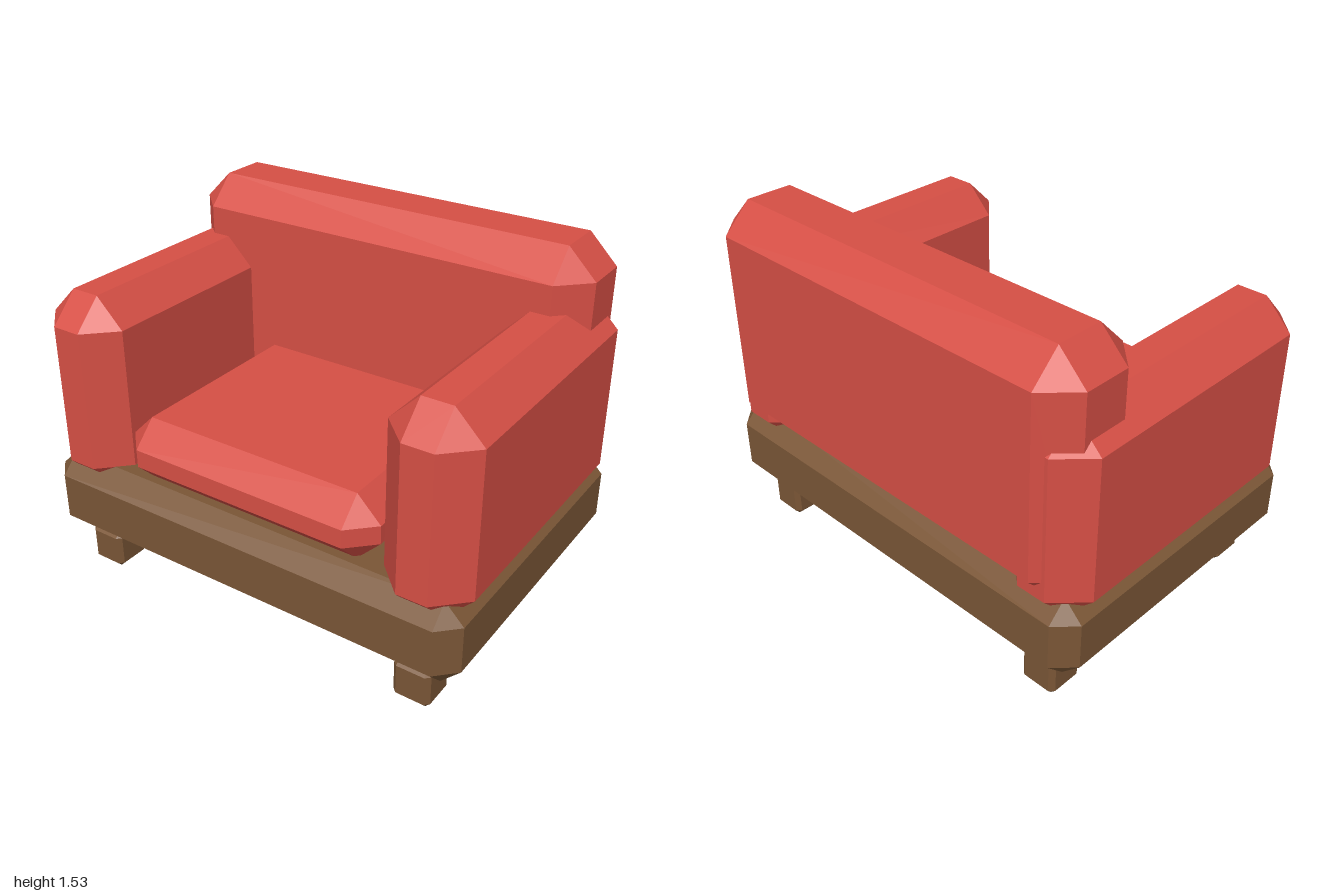
import * as THREE from 'three';
import { ConvexGeometry } from 'three/addons/geometries/ConvexGeometry.js';

const fabric = new THREE.MeshStandardMaterial({ color: 0xd64f45, flatShading: true });
const wood = new THREE.MeshStandardMaterial({ color: 0x7a5636, flatShading: true });

// Box with every edge cut at 45 degrees and triangular corners, from [min, max] ranges
function chamferBox(name, material, [x0, x1], [y0, y1], [z0, z1], c) {
  const half = [(x1 - x0) / 2, (y1 - y0) / 2, (z1 - z0) / 2];
  const points = [];
  for (const sx of [-1, 1]) for (const sy of [-1, 1]) for (const sz of [-1, 1]) {
    for (let axis = 0; axis < 3; axis++) {
      // Full reach along one axis, inset along the other two
      const [x, y, z] = half.map((h, i) => (i === axis ? h : h - c));
      points.push(new THREE.Vector3(sx * x, sy * y, sz * z));
    }
  }
  const mesh = new THREE.Mesh(new ConvexGeometry(points), material);
  mesh.name = name;
  mesh.position.set((x0 + x1) / 2, (y0 + y1) / 2, (z0 + z1) / 2);
  return mesh;
}

export function createModel() {
  const model = new THREE.Group();
  model.name = 'armchair';

  // Wooden platform
  model.add(chamferBox('base', wood, [-0.995, 0.995], [0.17, 0.54], [-0.692, 0.713], 0.083));

  // Upholstery
  model.add(chamferBox('seatCushion', fabric, [-0.605, 0.605], [0.52, 0.81], [-0.52, 0.675], 0.105));
  model.add(chamferBox('backrest', fabric, [-0.952, 0.952], [0.5, 1.535], [-0.713, -0.26], 0.124));

  // Mirrored armrests and legs
  for (const [side, s] of [['left', 1], ['right', -1]]) {
    const span = (a, b) => (s > 0 ? [a, b] : [-b, -a]);
    model.add(chamferBox(side + 'Armrest', fabric, span(0.622, 1), [0.415, 1.287], [-0.68, 0.695], 0.124));
    model.add(chamferBox(side + 'FrontLeg', wood, span(0.705, 0.868), [0, 0.172], [0.47, 0.634], 0.02));
    model.add(chamferBox(side + 'BackLeg', wood, span(0.705, 0.868), [0, 0.172], [-0.61, -0.445], 0.02));
  }
  return model;
}
